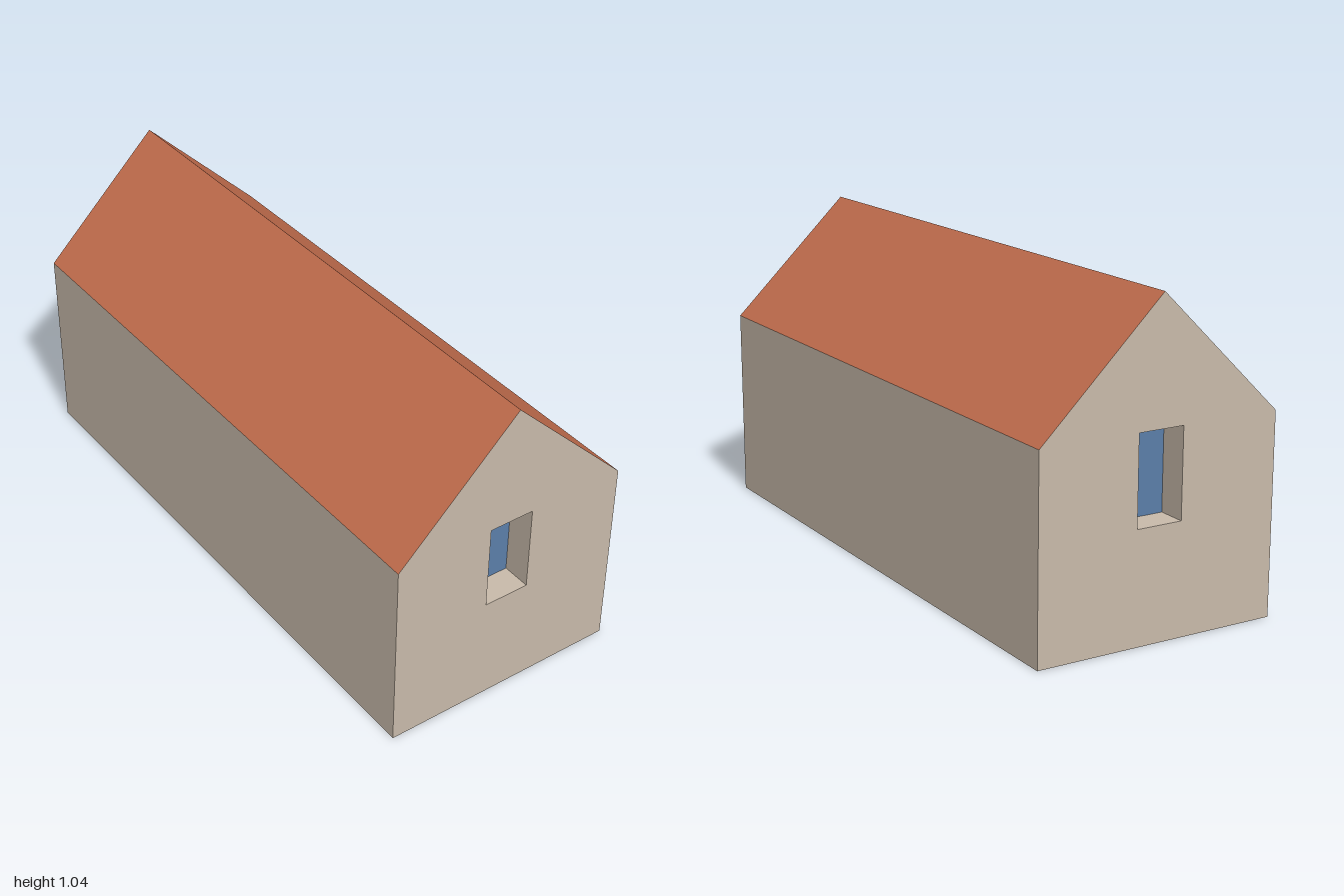
import * as THREE from 'three';

const W = 0.41, EAVE = 0.645, RIDGE = 1.042, HALF = 1;       // house half width, heights, half length
const WIN = { w: 0.077, y0: 0.36, y1: 0.645, depth: 0.095 }; // recessed window

function mat(name, color) {
  const m = new THREE.MeshStandardMaterial({ color, side: THREE.DoubleSide });
  m.name = name;
  return m;
}

// Flat panel centred on a point, tilted about x, y or z
function panel(name, w, h, material, pos, rot = [0, 0, 0]) {
  const mesh = new THREE.Mesh(new THREE.PlaneGeometry(w, h), material);
  mesh.name = name;
  mesh.position.set(...pos);
  mesh.rotation.set(...rot);
  return mesh;
}

// Gable wall with a window opening, its reveals and the set-back pane
function gableEnd(name, wall, glass) {
  const g = new THREE.Group();
  g.name = name;
  const { w, y0, y1, depth } = WIN;
  const shape = new THREE.Shape([[-W, 0], [W, 0], [W, EAVE], [0, RIDGE], [-W, EAVE]]
    .map(p => new THREE.Vector2(...p)));
  shape.holes.push(new THREE.Path([[-w, y0], [-w, y1], [w, y1], [w, y0]]
    .map(p => new THREE.Vector2(...p))));
  const face = new THREE.Mesh(new THREE.ShapeGeometry(shape), wall);
  face.name = 'gableWall';
  face.position.z = HALF;
  g.add(face);

  const mid = (y0 + y1) / 2, h = y1 - y0, z = HALF - depth / 2, q = Math.PI / 2;
  g.add(
    panel('windowPane', 2 * w, h, glass, [0, mid, HALF - depth]),
    panel('windowSill', 2 * w, depth, wall, [0, y0, z], [-q, 0, 0]),
    panel('windowHead', 2 * w, depth, wall, [0, y1, z], [q, 0, 0]),
    panel('windowJambRight', depth, h, wall, [-w, mid, z], [0, q, 0]),
    panel('windowJambLeft', depth, h, wall, [w, mid, z], [0, -q, 0]),
  );
  return g;
}

export function createModel() {
  const wall = mat('plaster', 0xc8baaa);
  const roof = mat('roofTile', 0xc46e4e);
  const glass = mat('windowGlass', 0x5b7ea9);

  const house = new THREE.Group();
  house.name = 'house';

  // Gable ends, front and back
  const back = gableEnd('backGable', wall, glass);
  back.rotation.y = Math.PI;
  house.add(gableEnd('frontGable', wall, glass), back);

  // Long walls and roof slopes, mirrored left and right; the underside is open
  const slope = Math.hypot(W, RIDGE - EAVE), pitch = Math.atan2(RIDGE - EAVE, W);
  for (const s of [-1, 1]) {
    const side = s > 0 ? 'Left' : 'Right';
    house.add(panel('sideWall' + side, 2 * HALF, EAVE, wall, [s * W, EAVE / 2, 0], [0, s * Math.PI / 2, 0]));
    const tile = panel('roofSlope' + side, slope, 2 * HALF, roof, [s * W / 2, (EAVE + RIDGE) / 2, 0]);
    tile.geometry.rotateX(-Math.PI / 2);
    tile.rotation.z = -s * pitch;
    house.add(tile);
  }
  return house;
}
